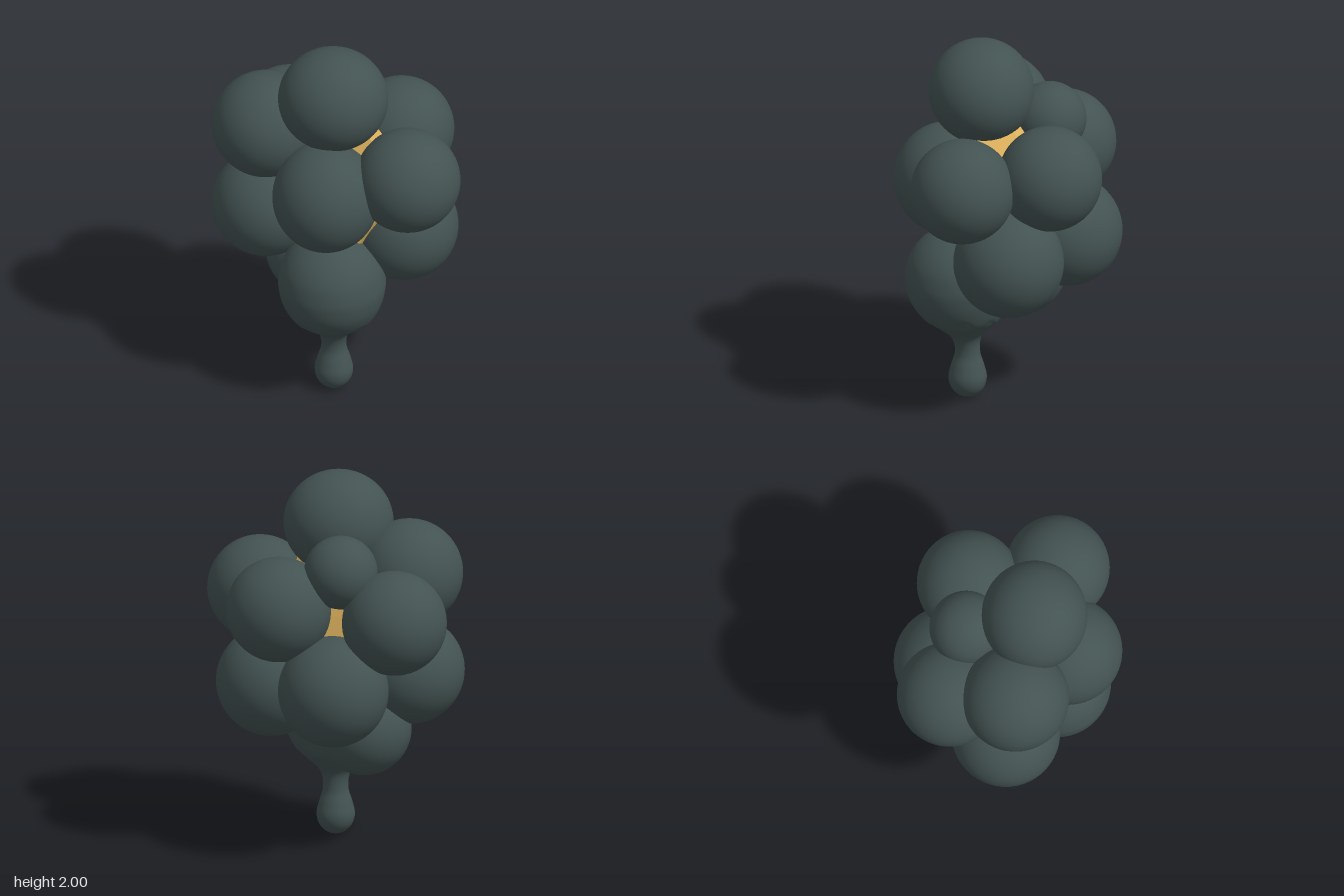
import * as THREE from 'three';
import { ConvexGeometry } from 'three/addons/geometries/ConvexGeometry.js';

// berry centres and radii: x, y, z, rx, ry, rz
const berries = {
  topBerry: [-0.012, 1.725, 0.137, 0.287, 0.275, 0.275],
  upperRightBerry: [-0.377, 1.48, 0.03, 0.28, 0.28, 0.28],
  frontBerry: [-0.03, 1.23, 0.31, 0.28, 0.297, 0.284],
  upperLeftBerry: [0.392, 1.332, 0.265, 0.275, 0.275, 0.272],
  backLeftBerry: [0.31, 1.355, -0.197, 0.275, 0.275, 0.272],
  lowerLeftBerry: [0.342, 0.9, 0.02, 0.288, 0.29, 0.288],
  lowerRightBerry: [-0.38, 0.965, -0.02, 0.284, 0.283, 0.284],
  lowerBackBerry: [0.03, 0.94, -0.307, 0.288, 0.292, 0.288],
  backRightBerry: [-0.288, 1.31, -0.312, 0.273, 0.273, 0.273],
  smallBackBerry: [-0.012, 1.56, -0.218, 0.192, 0.192, 0.192],
  bottomBackBerry: [-0.14, 0.665, -0.07, 0.246, 0.248, 0.248],
};
const dropCentre = [-0.005, 0.68, 0.255];

export function createModel() {
  const group = new THREE.Group();
  const dark = new THREE.MeshStandardMaterial({ color: 0x435352 });
  dark.name = 'dark slate';
  const gold = new THREE.MeshStandardMaterial({ color: 0xdcb05c });
  gold.name = 'gold';

  const add = (name, geometry, material) => {
    const mesh = new THREE.Mesh(geometry, material);
    mesh.name = name;
    group.add(mesh);
    return mesh;
  };

  // cluster of round berries
  const ball = new THREE.SphereGeometry(1, 56, 36);
  for (const [name, [x, y, z, rx, ry, rz]] of Object.entries(berries)) {
    const mesh = add(name, ball, dark);
    mesh.position.set(x, y, z);
    mesh.scale.set(rx, ry, rz);
  }

  // lowest berry melting into a hanging drop, its axis leaning back towards the tip
  const half = new THREE.SplineCurve([
    [0, 0.004], [0.05, 0.018], [0.088, 0.06], [0.1, 0.115], [0.086, 0.18],
    [0.067, 0.245], [0.069, 0.31], [0.092, 0.36], [0.148, 0.412], [0.208, 0.468],
    [0.25, 0.55], [0.27, 0.63], [0.272, 0.7], [0.251, 0.79], [0.196, 0.873],
    [0.107, 0.935], [0, 0.954],
  ].map(([r, y]) => new THREE.Vector2(r, y))).getPoints(130);
  half.forEach((p) => { p.x = Math.max(0, p.x); });
  const drop = new THREE.LatheGeometry(half, 96);
  const pos = drop.attributes.position;
  for (let i = 0; i < pos.count; i++) {
    const x = pos.getX(i), y = pos.getY(i), z = pos.getZ(i);
    // glaze running down in a wavy raised edge
    const u = drop.attributes.uv.getX(i) * Math.PI * 2;
    const edge = 0.48 + 0.025 * Math.sin(9 * u) + 0.015 * Math.sin(4 * u + 1);
    const swell = 1 + 0.025 * THREE.MathUtils.smoothstep(y, edge - 0.008, edge + 0.008);
    const lean = THREE.MathUtils.smoothstep(y, 0.25, 0.6);
    pos.setXYZ(i, x * swell + dropCentre[0] * lean, y, z * swell + 0.21 + 0.045 * lean);
  }
  drop.computeVertexNormals();
  add('hangingDrop', drop, dark);

  // faceted golden core spanning the berry centres, seen only in the gaps
  const centres = [...Object.values(berries), dropCentre]
    .map(([x, y, z]) => new THREE.Vector3(x, y, z));
  add('goldenCore', new ConvexGeometry(centres), gold);

  return group;
}
